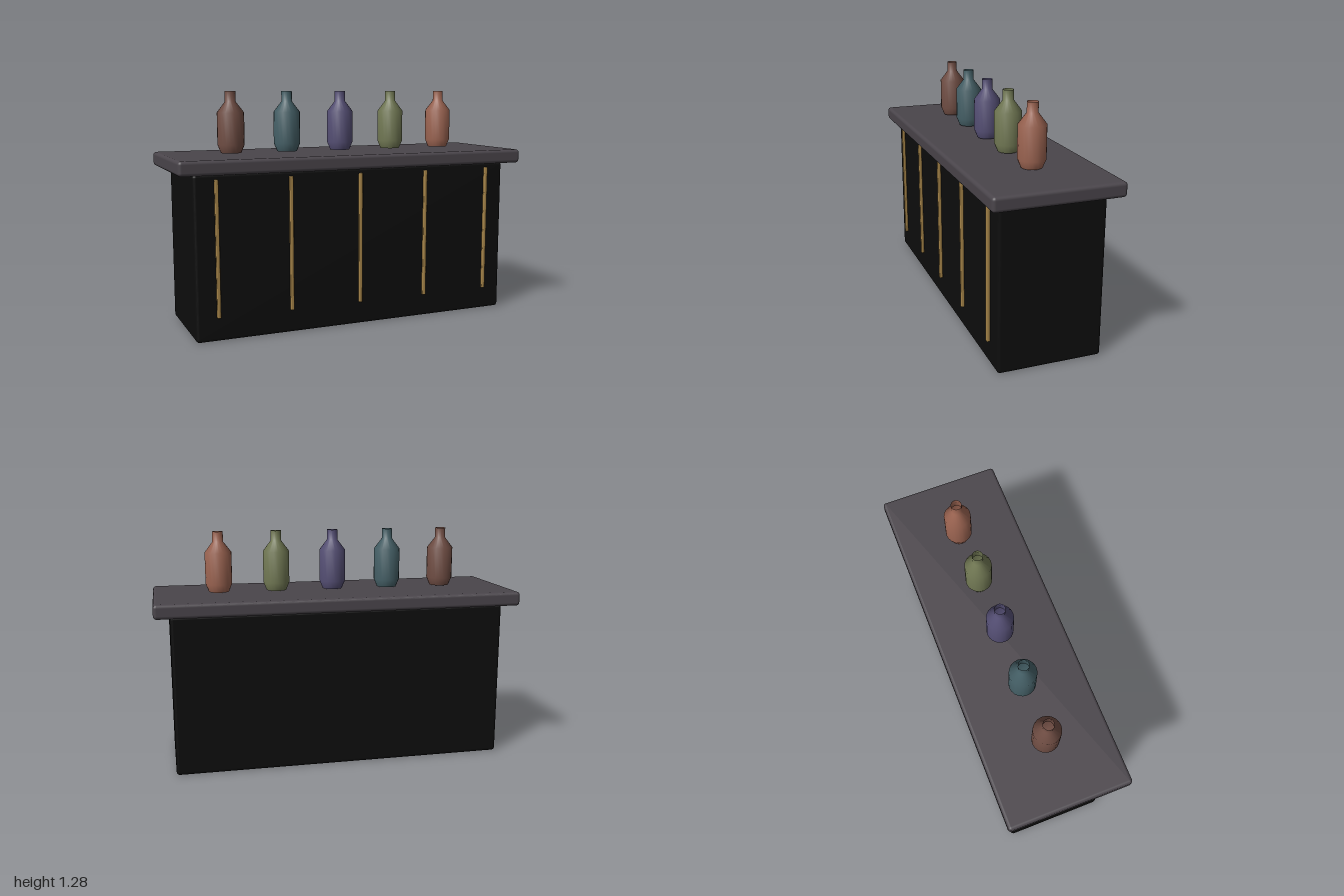
import * as THREE from 'three';
import { RoundedBoxGeometry } from 'three/addons/geometries/RoundedBoxGeometry.js';

function material(name, color, side = THREE.FrontSide) {
  const m = new THREE.MeshStandardMaterial({ color, side });
  m.name = name;
  return m;
}

export function createModel() {
  const group = new THREE.Group();
  group.name = 'barCounter';

  function add(name, geometry, mat, x, y, z) {
    const mesh = new THREE.Mesh(geometry, mat);
    mesh.name = name;
    mesh.position.set(x, y, z);
    group.add(mesh);
  }

  // Cabinet and overhanging worktop
  add('cabinet', new RoundedBoxGeometry(1.835, 0.872, 0.56, 3, 0.018),
    material('black', 0x0d0d0d), 0, 0.436, 0);
  add('worktop', new RoundedBoxGeometry(2, 0.077, 0.68, 3, 0.018),
    material('charcoal', 0x4a454b), 0, 0.907, 0);

  // Upright trim strips on the front
  const brass = material('brass', 0xa68448);
  const strip = new RoundedBoxGeometry(0.02, 0.72, 0.02, 2, 0.006);
  for (let i = -2; i <= 2; i++) add('trimStrip', strip, brass, i * 0.4, 0.485, 0.288);

  // Row of open, hollow bottles
  const profile = [[0.055, 0], [0.073, 0.044], [0.073, 0.217], [0.029, 0.275], [0.029, 0.33]]
    .map(([r, y]) => new THREE.Vector2(r, y));
  const bottle = new THREE.LatheGeometry(profile, 20);
  const colors = [
    ['brown', 0x724f45], ['teal', 0x466168], ['violet', 0x565076],
    ['olive', 0x737a55], ['terracotta', 0x9d6552],
  ];
  colors.forEach(([name, hex], i) =>
    add(name + 'Bottle', bottle, material(name, hex, THREE.DoubleSide), (i - 2) * 0.32, 0.953, 0));

  return group;
}
